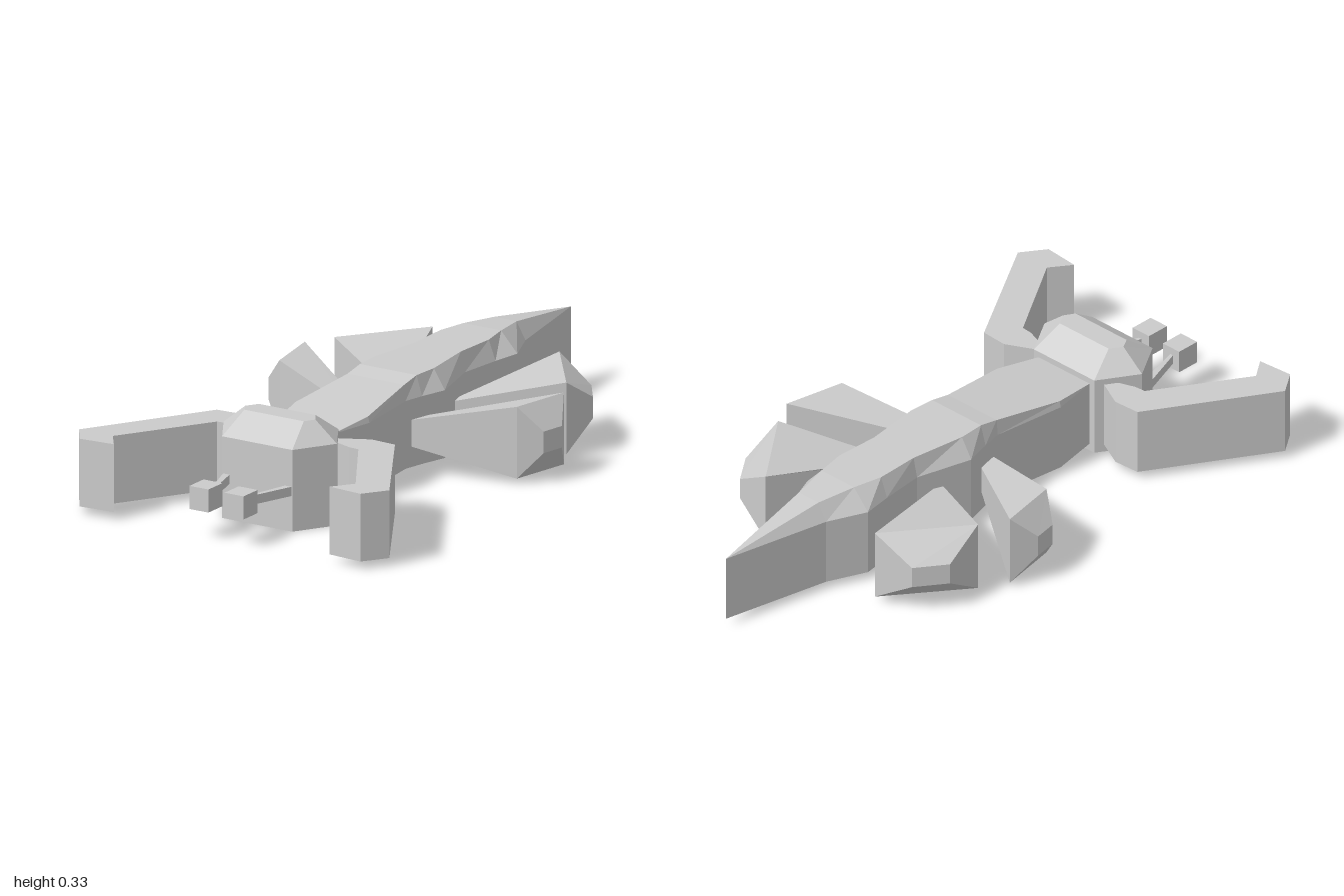
import * as THREE from 'three';

const material = new THREE.MeshStandardMaterial({ color: 0xcccccc, flatShading: true });

function part(name, geometry) {
  const mesh = new THREE.Mesh(geometry, material);
  mesh.name = name;
  return mesh;
}

// Closed flat-shaded skin through rings of equal point count, turned outward by its signed volume
function loft(rings) {
  const n = rings[0].length;
  const tris = [];
  for (let r = 0; r < rings.length - 1; r++) {
    for (let i = 0; i < n; i++) {
      const j = (i + 1) % n;
      const [a, b, c, d] = [rings[r][i], rings[r][j], rings[r + 1][j], rings[r + 1][i]];
      tris.push([a, b, c], [a, c, d]);
    }
  }
  const first = rings[0], last = rings[rings.length - 1];
  for (let i = 1; i < n - 1; i++) {
    tris.push([first[0], first[i + 1], first[i]], [last[0], last[i], last[i + 1]]);
  }
  const v = (p) => new THREE.Vector3(...p);
  let volume = 0;
  for (const [a, b, c] of tris) volume += v(a).dot(v(b).cross(v(c)));
  if (volume < 0) tris.forEach((t) => t.reverse());
  const geometry = new THREE.BufferGeometry();
  geometry.setAttribute('position', new THREE.Float32BufferAttribute(tris.flat(2), 3));
  geometry.computeVertexNormals();
  return geometry;
}

// Upright rectangle over the plan line a-b, between two heights
const uprightQuad = ([ax, az], [bx, bz], y0, y1) => [
  [ax, y0, az], [bx, y0, bz], [bx, y1, bz], [ax, y1, az],
];

// Body: z, half width of the walls, half width and height of the back
function makeBody() {
  const sections = [
    [0.51, 0.11, 0.11, 0.245],
    [0.35, 0.14, 0.135, 0.265],
    [0.1, 0.11, 0.105, 0.297],
    [0.03, 0.125, 0.105, 0.31],
    [-0.06, 0.15, 0.11, 0.31],
    [-0.25, 0.1, 0.085, 0.31],
    [-0.4, 0.115, 0.09, 0.31],
    [-0.5, 0.13, 0.07, 0.31],
    [-0.63, 0.075, 0.042, 0.301],
    [-1, 0, 0, 0.245],
  ];
  return loft(sections.map(([z, w, t, y]) => [
    [-w, 0.025, z], [w, 0.025, z], [w, 0.245, z], [t, y, z], [-t, y, z], [-w, 0.245, z],
  ]));
}

// Head: six-sided prism with a bevelled crown
function makeHead() {
  const hexagon = (y, [bx, bz], [mx, mz], [fx, fz]) => [
    [bx, y, bz], [mx, y, mz], [fx, y, fz], [-fx, y, fz], [-mx, y, mz], [-bx, y, bz],
  ];
  const base = [[0.13, 0.51], [0.21, 0.64], [0.13, 0.77]];
  const crown = [[0.105, 0.6], [0.13, 0.64], [0.11, 0.675]];
  return loft([hexagon(0, ...base), hexagon(0.265, ...base), hexagon(0.33, ...crown)]);
}

// Front leg: bent, hooked plan outline given thickness
function makeFrontLeg(s) {
  const plan = [
    [0.1, 0.56], [0.24, 0.49], [0.33, 0.495], [0.575, 0.9], [0.52, 0.98],
    [0.4, 0.97], [0.45, 0.9], [0.335, 0.59], [0.265, 0.6], [0.14, 0.565],
  ];
  // The inner forearm edge runs parallel to the outer one
  plan[7] = [0.262, 0.598];
  plan[8] = [0.225, 0.595];
  const shape = new THREE.Shape(plan.map(([x, z]) => new THREE.Vector2(s * x, z)));
  const geometry = new THREE.ExtrudeGeometry(shape, { depth: 0.22, bevelEnabled: false });
  return geometry.rotateX(Math.PI / 2).translate(0, 0.245, 0);
}

// Paddle: narrow root, wide mouth, small blunt end
function makePaddle(s, root, wide, end) {
  const m = ([x, z]) => [s * x, z];
  return loft([
    uprightQuad(m(root[0]), m(root[1]), 0.095, 0.175),
    uprightQuad(m(wide[0]), m(wide[1]), 0.017, 0.25),
    uprightQuad(m(end[0]), m(end[1]), 0.1, 0.17),
  ]);
}

export function createModel() {
  const model = new THREE.Group();
  model.name = 'aquaticInsect';
  model.add(part('body', makeBody()), part('head', makeHead()));

  for (const s of [1, -1]) {
    const side = s > 0 ? 'left' : 'right';
    model.add(part(side + 'FrontLeg', makeFrontLeg(s)));
    model.add(part(side + 'MiddlePaddle', makePaddle(s,
      [[0.115, 0.015], [0.1, 0.08]], [[0.48, -0.23], [0.44, -0.025]], [[0.525, -0.15], [0.51, -0.07]])));
    model.add(part(side + 'RearPaddle', makePaddle(s,
      [[0.12, -0.19], [0.1, -0.145]], [[0.235, -0.578], [0.43, -0.32]], [[0.37, -0.553], [0.44, -0.455]])));

    // Stalk and block at its tip
    model.add(part(side + 'EyeStalk', loft([
      uprightQuad([s * 0.105, 0.76], [s * 0.13, 0.76], 0.115, 0.145),
      uprightQuad([s * 0.06, 0.93], [s * 0.07, 0.93], 0.115, 0.145),
    ])));
    const eye = part(side + 'Eye', new THREE.BoxGeometry(0.07, 0.075, 0.08));
    eye.position.set(s * 0.065, 0.132, 0.96);
    model.add(eye);
  }
  return model;
}
